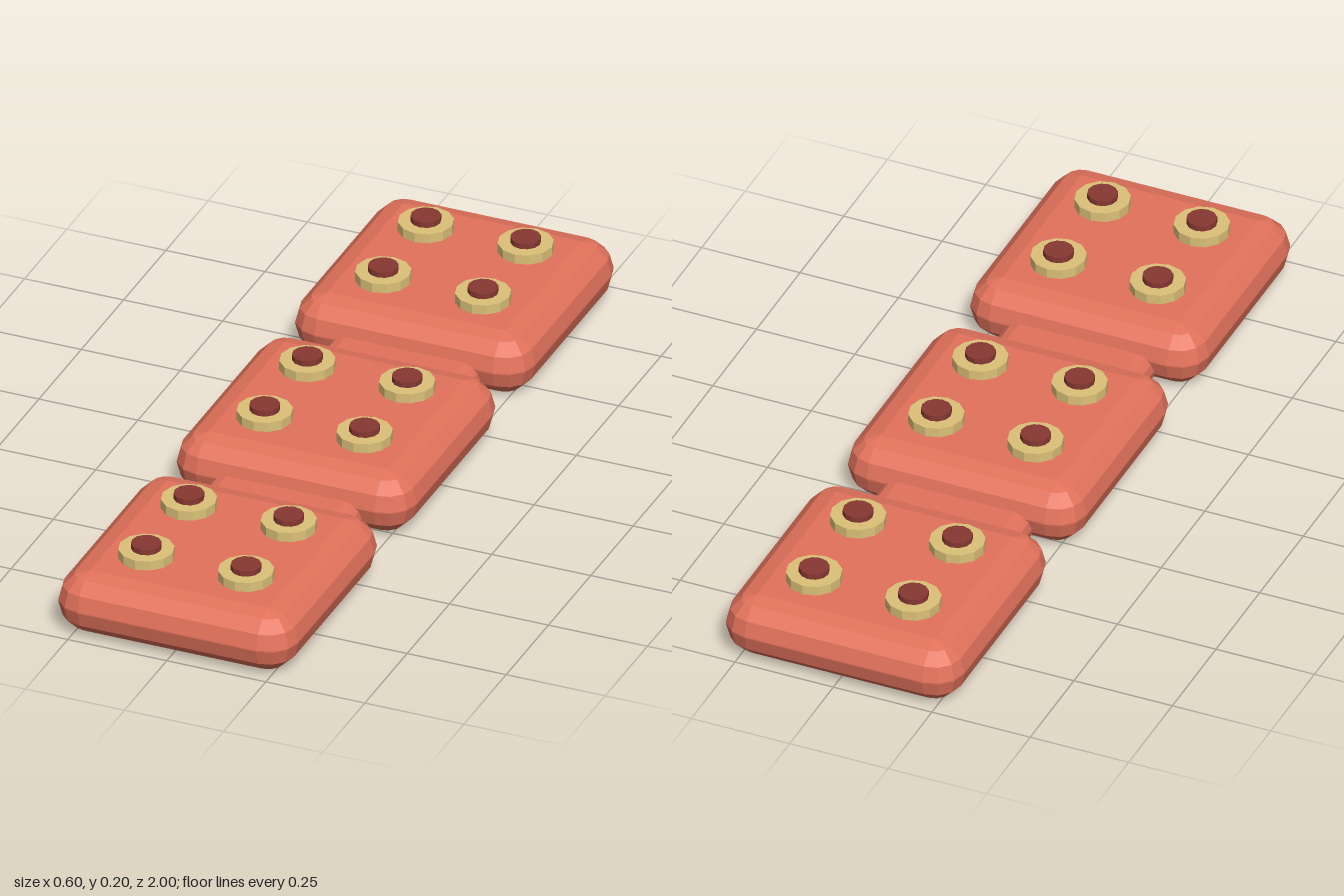
import * as THREE from 'three';
import { ConvexGeometry } from 'three/addons/geometries/ConvexGeometry.js';

const material = (color) => new THREE.MeshStandardMaterial({ color, flatShading: true });

// Box with faceted round edges: the hull of a low-poly ball placed at each corner.
function pillow(w, h, d, r) {
  const ball = new THREE.SphereGeometry(r, 12, 6).attributes.position;
  const points = [];
  for (const sx of [-1, 1]) for (const sy of [-1, 1]) for (const sz of [-1, 1]) {
    const corner = new THREE.Vector3(sx * (w / 2 - r), sy * (h / 2 - r), sz * (d / 2 - r));
    for (let i = 0; i < ball.count; i++) {
      const p = new THREE.Vector3().fromBufferAttribute(ball, i);
      // keep only the octant that faces outwards
      if (p.x * sx > -1e-6 && p.y * sy > -1e-6 && p.z * sz > -1e-6) points.push(p.add(corner));
    }
  }
  return new ConvexGeometry(points);
}

export function createModel() {
  const model = new THREE.Group();
  model.name = 'linkedPads';
  const red = material(0xe2725b);
  const gold = material(0xdcc178);
  const maroon = material(0x883832);

  function add(parent, name, geometry, mat, x, y, z) {
    const mesh = new THREE.Mesh(geometry, mat);
    mesh.name = name;
    mesh.position.set(x, y, z);
    parent.add(mesh);
  }

  const padGeometry = pillow(0.6, 0.153, 0.6, 0.075);
  const linkGeometry = pillow(0.38, 0.084, 0.25, 0.04);
  const collarGeometry = new THREE.CylinderGeometry(0.066, 0.066, 0.024, 12);
  const studGeometry = new THREE.CylinderGeometry(0.036, 0.036, 0.036, 12);

  // Three pads in a row, each with four collared studs
  for (const z of [-0.7, 0, 0.7]) {
    const segment = new THREE.Group();
    segment.name = 'segment';
    segment.position.z = z;
    model.add(segment);
    add(segment, 'pad', padGeometry, red, 0, 0.0765, 0);
    for (const sx of [-1, 1]) for (const sz of [-1, 1]) {
      add(segment, 'collar', collarGeometry, gold, sx * 0.126, 0.17, sz * 0.126);
      add(segment, 'stud', studGeometry, maroon, sx * 0.126, 0.178, sz * 0.126);
    }
  }

  // Low links joining neighbouring pads
  for (const z of [-0.35, 0.35]) add(model, 'link', linkGeometry, red, 0, 0.046, z);

  return model;
}
